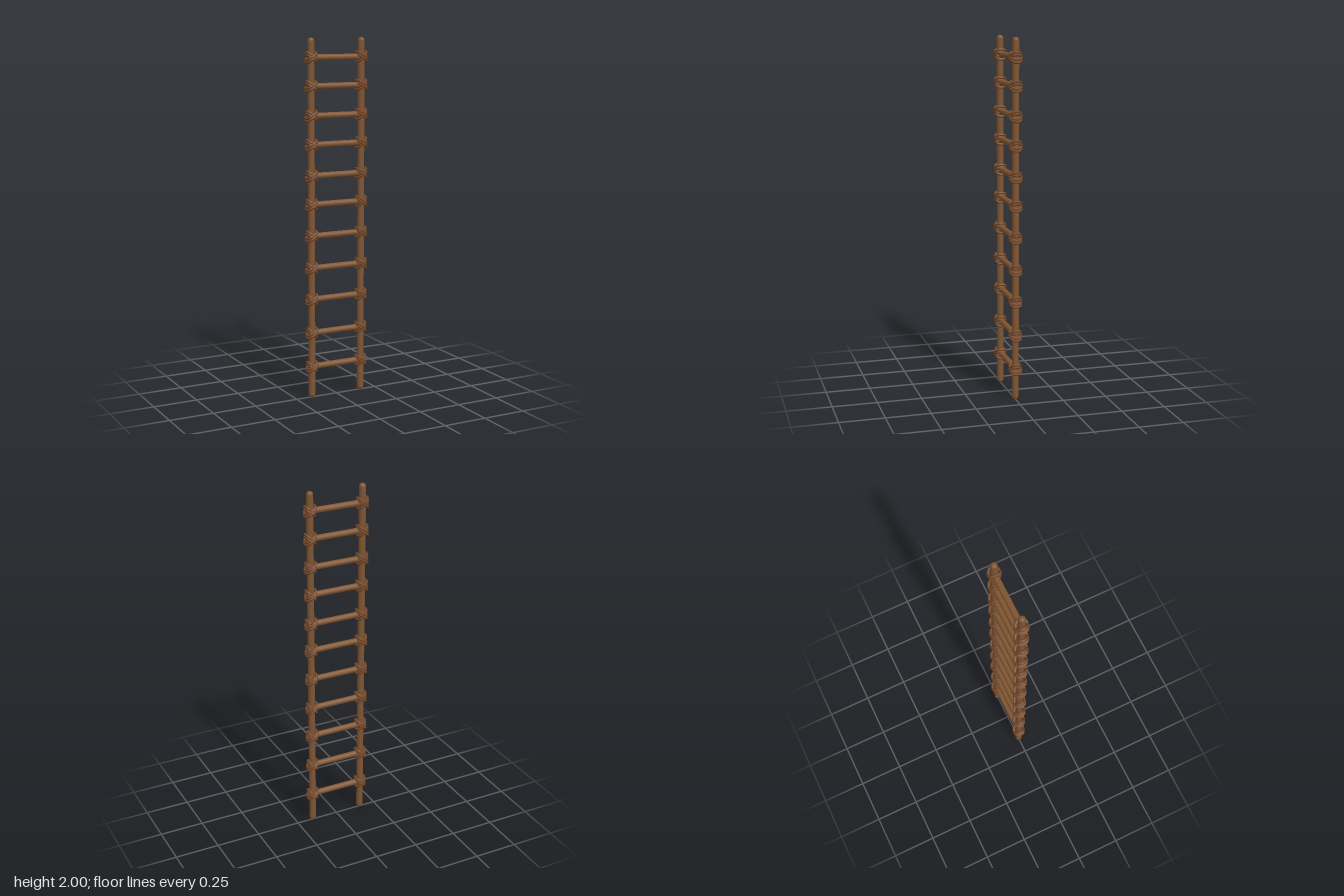
import * as THREE from 'three';

const RAIL_X = 0.154;
const RUNG_Y = [0.177, 0.371, 0.562, 0.739, 0.919, 1.094, 1.253, 1.423, 1.58, 1.74, 1.894];

// Closed rope loop, slanted so that opposite slants cross in an X at the joint
function ropeLoop(slant, shift, swell) {
  const points = [];
  for (let i = 0; i < 12; i++) {
    const a = (i / 12) * Math.PI * 2;
    const c = Math.cos(a), s = Math.sin(a);
    const soft = (v) => Math.sign(v) * Math.pow(Math.abs(v), 0.8);
    points.push(new THREE.Vector3(
      soft(c) * (0.025 + swell),
      slant * c * 0.02 + shift,
      soft(s) * (0.028 + swell)
    ));
  }
  const path = new THREE.CatmullRomCurve3(points, true);
  return new THREE.TubeGeometry(path, 28, 0.0075, 7, true);
}

export function createModel() {
  const wood = new THREE.MeshStandardMaterial({ color: 0x7f5532 });
  wood.name = 'brown wood';
  const rope = new THREE.MeshStandardMaterial({ color: 0x75492a });
  rope.name = 'dark brown rope';

  const ladder = new THREE.Group();
  ladder.name = 'ladder';

  const add = (parent, geometry, material, name) => {
    const mesh = new THREE.Mesh(geometry, material);
    mesh.name = name;
    parent.add(mesh);
    return mesh;
  };

  // Rails: round poles with softly domed ends
  const profile = [
    [0, 0], [0.008, 0.001], [0.014, 0.005], [0.0175, 0.011], [0.019, 0.02],
    [0.019, 1.98], [0.0175, 1.989], [0.014, 1.995], [0.008, 1.999], [0, 2]
  ].map(([r, y]) => new THREE.Vector2(r, y));
  const railGeometry = new THREE.LatheGeometry(profile, 16);
  for (const side of [-1, 1]) {
    add(ladder, railGeometry, wood, side > 0 ? 'leftRail' : 'rightRail').position.x = side * RAIL_X;
  }

  // Rungs
  const rungGeometry = new THREE.CylinderGeometry(0.017, 0.017, 2 * RAIL_X + 0.04, 14);
  rungGeometry.rotateZ(Math.PI / 2);

  // Lashings: two double wraps crossing each other
  const loops = [
    ropeLoop(1, -0.007, 0), ropeLoop(1, 0.007, 0),
    ropeLoop(-1, -0.007, 0.002), ropeLoop(-1, 0.007, 0.002)
  ];

  RUNG_Y.forEach((y) => {
    const rung = add(ladder, rungGeometry, wood, 'rung');
    rung.position.set(0, y, -0.001);
    for (const side of [-1, 1]) {
      const lashing = new THREE.Group();
      lashing.name = 'lashing';
      lashing.position.set(side * RAIL_X, y, 0);
      lashing.rotation.y = side > 0 ? 0 : Math.PI;
      loops.forEach((g) => add(lashing, g, rope, 'ropeWrap'));
      ladder.add(lashing);
    }
  });

  return ladder;
}
